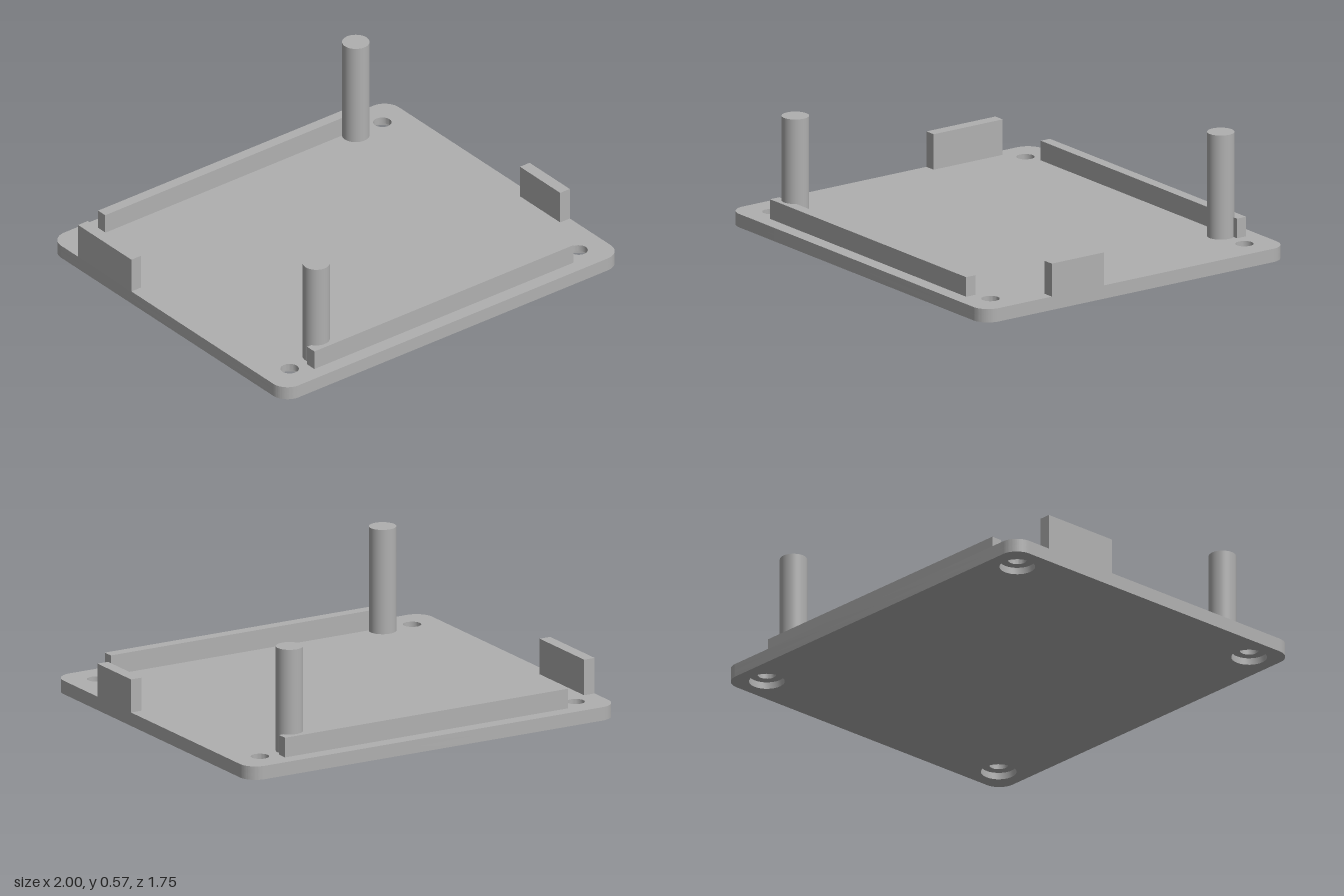
import * as THREE from 'three';
import { toCreasedNormals } from 'three/addons/utils/BufferGeometryUtils.js';

const HALF_X = 1, HALF_Z = 0.875, CORNER = 0.085;
const PLATE_TOP = 0.065, BORE_DEPTH = 0.033;

// One layer of the base: a rounded rectangle with a hole in each corner
function plateLayer(holeRadius, bottom, top) {
  const s = new THREE.Shape();
  const x = HALF_X - CORNER, y = HALF_Z - CORNER;
  s.absarc(x, y, CORNER, 0, Math.PI / 2);
  s.absarc(-x, y, CORNER, Math.PI / 2, Math.PI);
  s.absarc(-x, -y, CORNER, Math.PI, Math.PI * 1.5);
  s.absarc(x, -y, CORNER, Math.PI * 1.5, Math.PI * 2);
  s.closePath();
  for (const sx of [-1, 1]) for (const sy of [-1, 1]) {
    const hole = new THREE.Path();
    hole.absarc(sx * 0.856, sy * 0.732, holeRadius, 0, Math.PI * 2, true);
    s.holes.push(hole);
  }
  const g = new THREE.ExtrudeGeometry(s, { depth: top - bottom, bevelEnabled: false, curveSegments: 16 });
  g.rotateX(-Math.PI / 2).translate(0, bottom, 0);
  return toCreasedNormals(g, Math.PI / 6);
}

export function createModel() {
  const model = new THREE.Group();
  model.name = 'basePlateWithPosts';
  const grey = new THREE.MeshStandardMaterial({ color: 0xb0b0b0 });
  grey.name = 'grey';

  const add = (name, geometry) => {
    const mesh = new THREE.Mesh(geometry, grey);
    mesh.name = name;
    model.add(mesh);
    return mesh;
  };

  // Upright block standing on the plate, given by its extents
  const block = (name, x0, x1, z0, z1, top) => {
    const h = top - PLATE_TOP;
    add(name, new THREE.BoxGeometry(x1 - x0, h, z1 - z0))
      .position.set((x0 + x1) / 2, PLATE_TOP + h / 2, (z0 + z1) / 2);
  };

  // Base plate: wide screw-head recesses below, narrow screw holes above
  add('plateLower', plateLayer(0.083, 0, BORE_DEPTH));
  add('plateUpper', plateLayer(0.043, BORE_DEPTH, PLATE_TOP));

  // Long rails along the front and back
  block('frontRail', -0.768, 0.766, 0.752, 0.806, 0.16);
  block('backRail', -0.768, 0.766, -0.808, -0.755, 0.16);

  // Short tabs on the side edges
  block('rightTab', -1, -0.943, -0.665, -0.267, 0.237);
  block('leftTab', 0.943, 1, 0.185, 0.485, 0.225);

  // Tall round posts in opposite corners
  const postHeight = 0.57 - PLATE_TOP;
  for (const [name, side] of [['backPost', 1], ['frontPost', -1]]) {
    add(name, new THREE.CylinderGeometry(0.064, 0.064, postHeight, 48))
      .position.set(side * 0.688, PLATE_TOP + postHeight / 2, -side * 0.719);
  }
  return model;
}
